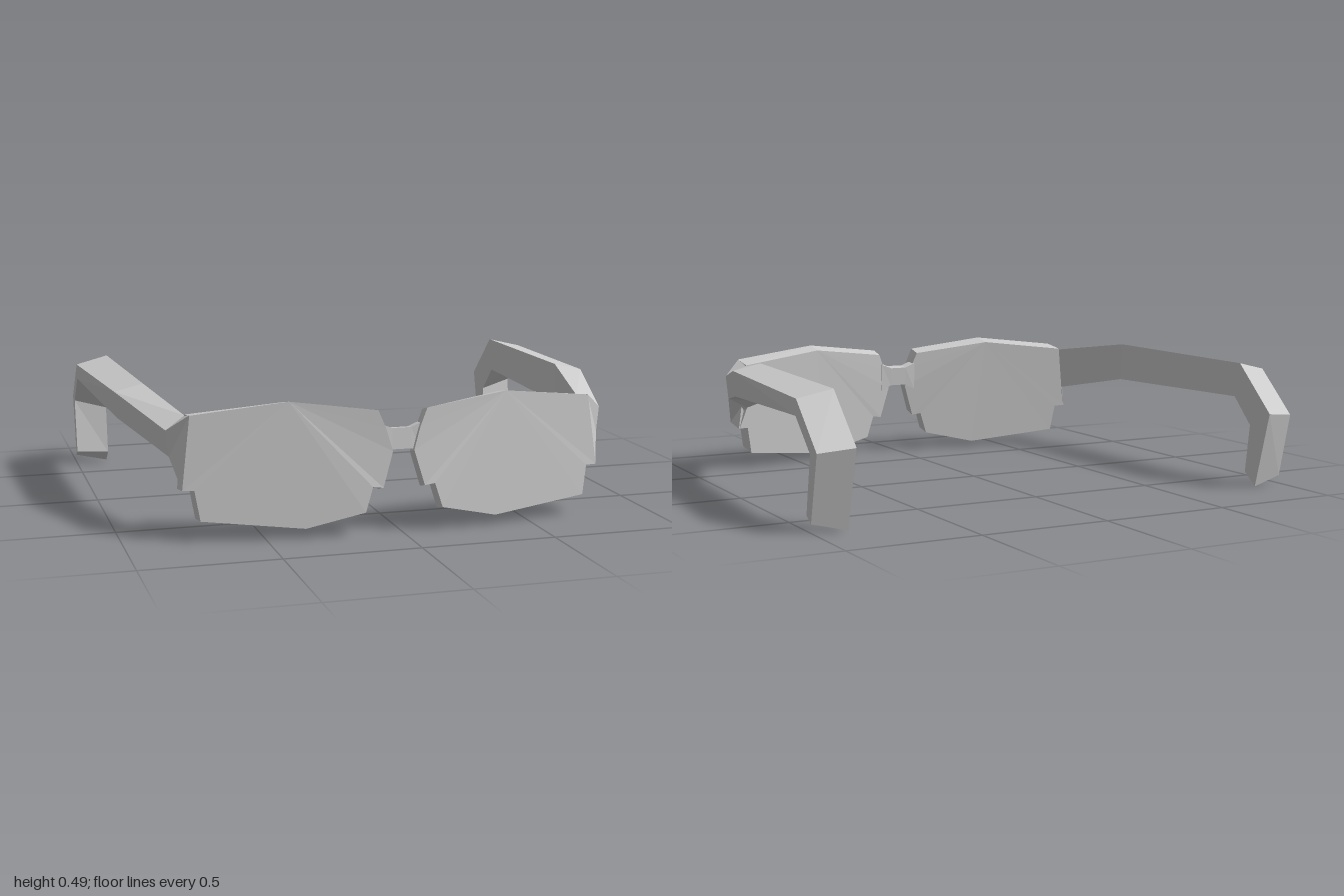
import * as THREE from 'three';

const material = new THREE.MeshStandardMaterial({ color: 0xcccccc, flatShading: true });

// Skin a row of matching rings, close both ends, and face the result outward.
// side = -1 mirrors the part across x.
function loft(name, rings, side = 1) {
  const n = rings[0].length;
  const tris = [];
  for (let i = 0; i < rings.length - 1; i++) {
    for (let j = 0; j < n; j++) {
      const k = (j + 1) % n;
      const [a, b, c, d] = [rings[i][j], rings[i][k], rings[i + 1][k], rings[i + 1][j]];
      tris.push([a, b, c], [a, c, d]);
    }
  }
  const first = rings[0];
  const last = rings[rings.length - 1];
  for (let j = 1; j < n - 1; j++) {
    tris.push([first[0], first[j + 1], first[j]], [last[0], last[j], last[j + 1]]);
  }
  const v = tris.map(t => t.map(([x, y, z]) => new THREE.Vector3(x * side, y, z)));
  const volume = v.reduce((s, [a, b, c]) => s + a.dot(b.clone().cross(c)), 0);
  if (volume < 0) v.forEach(t => t.reverse());
  const geometry = new THREE.BufferGeometry().setFromPoints(v.flat());
  geometry.computeVertexNormals();
  const mesh = new THREE.Mesh(geometry, material);
  mesh.name = name;
  return mesh;
}

// Piecewise linear lookup
function lerpTable(table, x) {
  for (let i = 1; i < table.length; i++) {
    const [x0, v0] = table[i - 1];
    const [x1, v1] = table[i];
    if (x <= x1 || i === table.length - 1) return v0 + (v1 - v0) * (x - x0) / (x1 - x0);
  }
}

// Lens outline, starting at the top so the faces fan out from there
const lensOutline = [
  [0.41, 0.495], [0.757, 0.455], [0.79, 0.19], [0.748, 0.19], [0.73, 0.08],
  [0.36, 0.04], [0.145, 0.09], [0.117, 0.18], [0.078, 0.175], [0.04, 0.305],
  [0.065, 0.39], [0.092, 0.455],
];
const frontCurve = [[0.04, 0.8], [0.14, 0.8], [0.41, 0.765], [0.73, 0.722], [0.8, 0.71]];
const backCurve = [[0.04, 0.748], [0.1, 0.742], [0.41, 0.687], [0.76, 0.613], [0.8, 0.605]];

// The lens wraps back toward the temple and leans back at the top
function lensRing(curve, drop) {
  return lensOutline.map(([x, y]) => [x, y - drop, lerpTable(curve, x) - 0.075 * (y - 0.1)]);
}

// Arm sections: outer top, outer bottom, inner bottom, inner top
const armRings = [
  [[0.757, 0.455, 0.686], [0.79, 0.19, 0.703], [0.785, 0.18, 0.598], [0.755, 0.437, 0.588]],
  [[0.832, 0.395, 0.63], [0.822, 0.3, 0.632], [0.762, 0.265, 0.573], [0.756, 0.437, 0.585]],
  [[0.95, 0.465, 0.2], [0.942, 0.365, 0.2], [0.84, 0.335, 0.2], [0.84, 0.49, 0.19]],
  [[1, 0.45, -0.585], [1, 0.39, -0.578], [0.87, 0.345, -0.578], [0.87, 0.48, -0.608]],
  [[1, 0.285, -0.765], [1, 0.275, -0.705], [0.87, 0.242, -0.68], [0.87, 0.3, -0.8]],
  [[1, 0.035, -0.705], [1, 0.058, -0.665], [0.87, 0.052, -0.655], [0.87, 0.003, -0.72]],
];

export function createModel() {
  const group = new THREE.Group();
  group.name = 'glasses';

  // Lenses and arms
  for (const [label, side] of [['left', 1], ['right', -1]]) {
    group.add(loft(label + 'Lens', [lensRing(frontCurve, 0), lensRing(backCurve, 0.015)], side));
    group.add(loft(label + 'Arm', armRings, side));
  }

  // Bridge, dipping slightly at the middle
  const bridge = [[-0.08, 0.402, 0.285], [-0.035, 0.384, 0.307], [0.035, 0.384, 0.307], [0.08, 0.402, 0.285]];
  group.add(loft('bridge', bridge.map(([x, top, bottom]) => [
    [x, top, 0.758], [x, bottom, 0.765], [x, bottom - 0.006, 0.722], [x, top - 0.006, 0.715],
  ])));

  return group;
}
